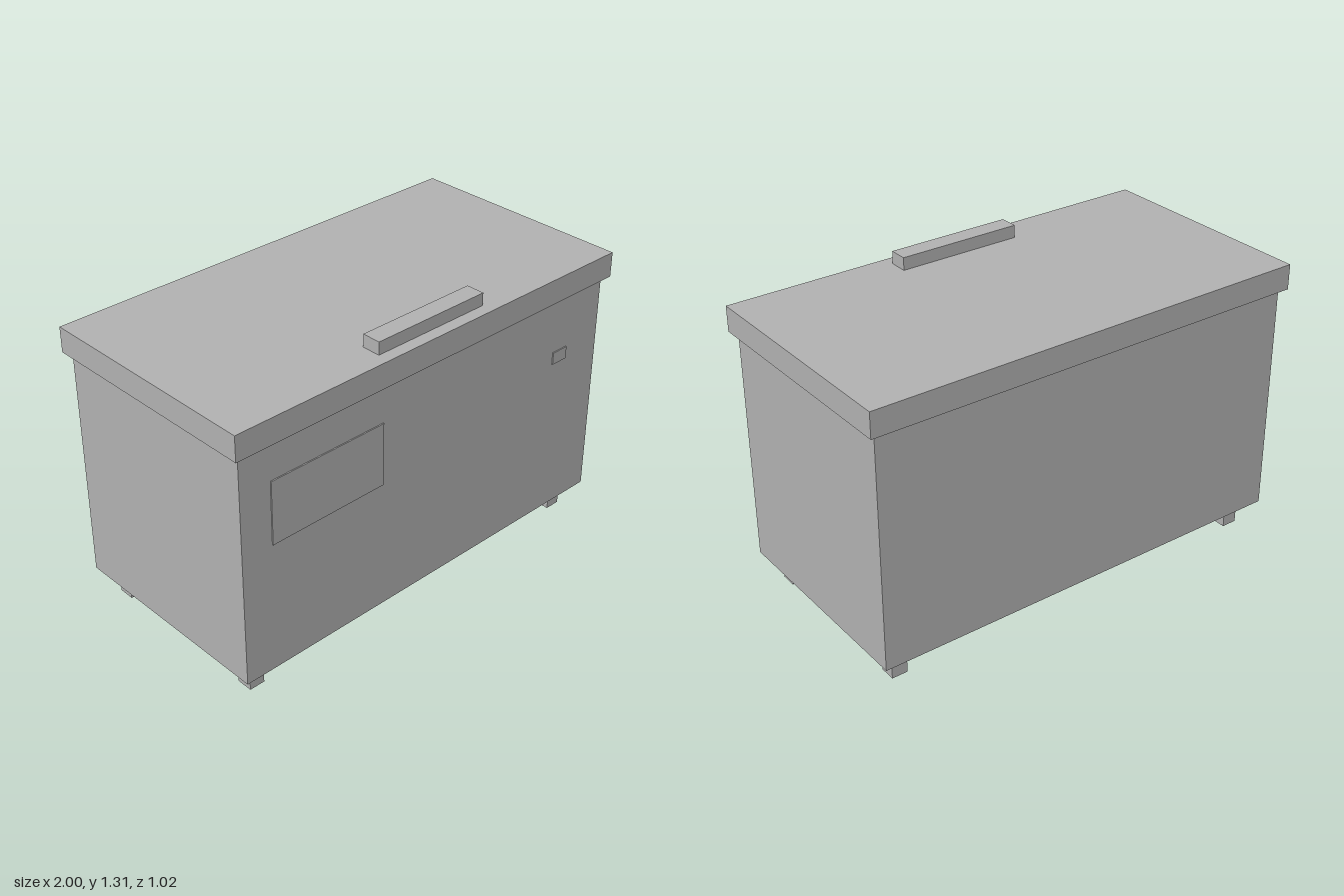
import * as THREE from 'three';

export function createModel() {
  const model = new THREE.Group();
  model.name = 'chestFreezer';

  const grey = new THREE.MeshStandardMaterial({ color: 0xb2b2b2 });
  grey.name = 'grey';

  // Box given by its [min, max] extent along each axis
  function box(name, [x0, x1], [y0, y1], [z0, z1]) {
    const mesh = new THREE.Mesh(new THREE.BoxGeometry(x1 - x0, y1 - y0, z1 - z0), grey);
    mesh.position.set((x0 + x1) / 2, (y0 + y1) / 2, (z0 + z1) / 2);
    mesh.name = name;
    model.add(mesh);
  }

  // Cabinet and overhanging lid
  box('cabinet', [-0.972, 0.972], [0.115, 1.143], [-0.486, 0.486]);
  box('lid', [-1, 1], [1.143, 1.253], [-0.512, 0.512]);

  // Handle bar near the front edge of the lid
  box('handle', [-0.277, 0.277], [1.253, 1.308], [0.376, 0.458]);

  // Thin plates on the front
  box('frontPanel', [-0.83, -0.277], [0.697, 0.975], [0.486, 0.491]);
  box('indicatorPlate', [0.695, 0.777], [0.835, 0.89], [0.486, 0.491]);

  // Four short square feet
  for (const x of [-0.87, 0.87]) {
    for (const z of [-0.381, 0.381]) {
      box('foot', [x - 0.035, x + 0.035], [0, 0.115], [z - 0.035, z + 0.035]);
    }
  }

  return model;
}
